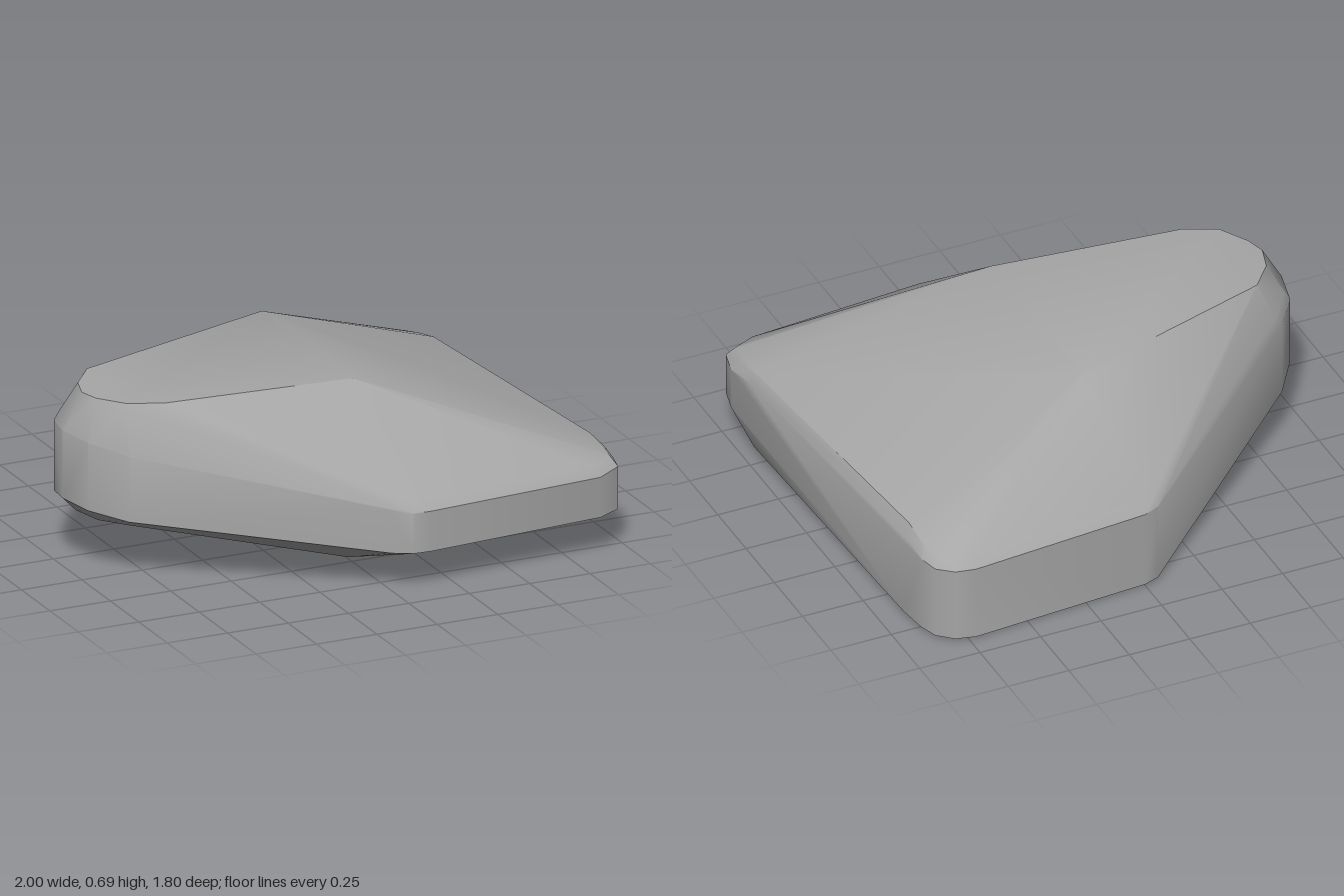
import * as THREE from 'three';
import { toCreasedNormals } from 'three/addons/utils/BufferGeometryUtils.js';
import { ConvexGeometry } from 'three/addons/geometries/ConvexGeometry.js';

export function createModel() {
  const stone = new THREE.MeshStandardMaterial({ color: 0xa6a6a6 });
  stone.name = 'stone grey';

  // Rim corners, clockwise from the narrow end: x, z, lower y, upper y
  const rim = [
    [-1.0, 0.08, 0.27, 0.54], [-0.97, -0.06, 0.25, 0.53], [-0.88, -0.18, 0.21, 0.51],
    [-0.06, -0.84, 0.01, 0.33], [0, -0.855, 0.005, 0.32],
    [0.72, -0.905, 0.005, 0.31], [0.8, -0.89, 0.008, 0.31], [0.86, -0.84, 0.01, 0.31], [0.885, -0.77, 0.012, 0.32],
    [0.995, 0.68, 0.15, 0.32], [0.97, 0.78, 0.15, 0.32], [0.87, 0.835, 0.15, 0.31],
    [0.14, 0.895, 0.15, 0.31], [0.07, 0.89, 0.15, 0.31], [0, 0.85, 0.15, 0.32],
    [-0.85, 0.35, 0.24, 0.5], [-0.96, 0.22, 0.26, 0.53],
  ];
  const points = [];
  for (const [x, z, low, high] of rim) {
    points.push(new THREE.Vector3(x, low, z), new THREE.Vector3(x, high, z));
    // Narrow bevel along the upper rim
    points.push(new THREE.Vector3(x * 0.975, high + 0.04, z * 0.965));
  }

  const facets = [
    // Flat top, rounded at the narrow end
    [0.05, 0.69, -0.4], [0.05, 0.69, 0.4], [-0.7, 0.685, 0.33], [-0.83, 0.685, 0.27],
    [-0.9, 0.68, 0.16], [-0.92, 0.68, 0.08], [-0.89, 0.68, -0.02], [-0.8, 0.685, -0.13],
    // Low edge at the wide end
    [0.96, 0.38, 0.55], [0.865, 0.385, -0.62], [0.985, 0.34, 0.55], [0.89, 0.34, -0.65],
    // Underside, rising to the front and the narrow end
    [-0.15, 0, -0.74], [-0.93, 0.2, 0.05], [-0.9, 0.2, 0.18], [-0.82, 0.2, 0.28],
    [-0.04, 0.04, 0.55], [0.96, 0.04, 0.55], [0.9, 0.012, -0.65],
  ];
  for (const p of facets) points.push(new THREE.Vector3(...p));

  const rock = new THREE.Mesh(toCreasedNormals(new ConvexGeometry(points), 0.55), stone);
  rock.name = 'rock';

  const group = new THREE.Group();
  group.name = 'boulder';
  group.add(rock);
  return group;
}
